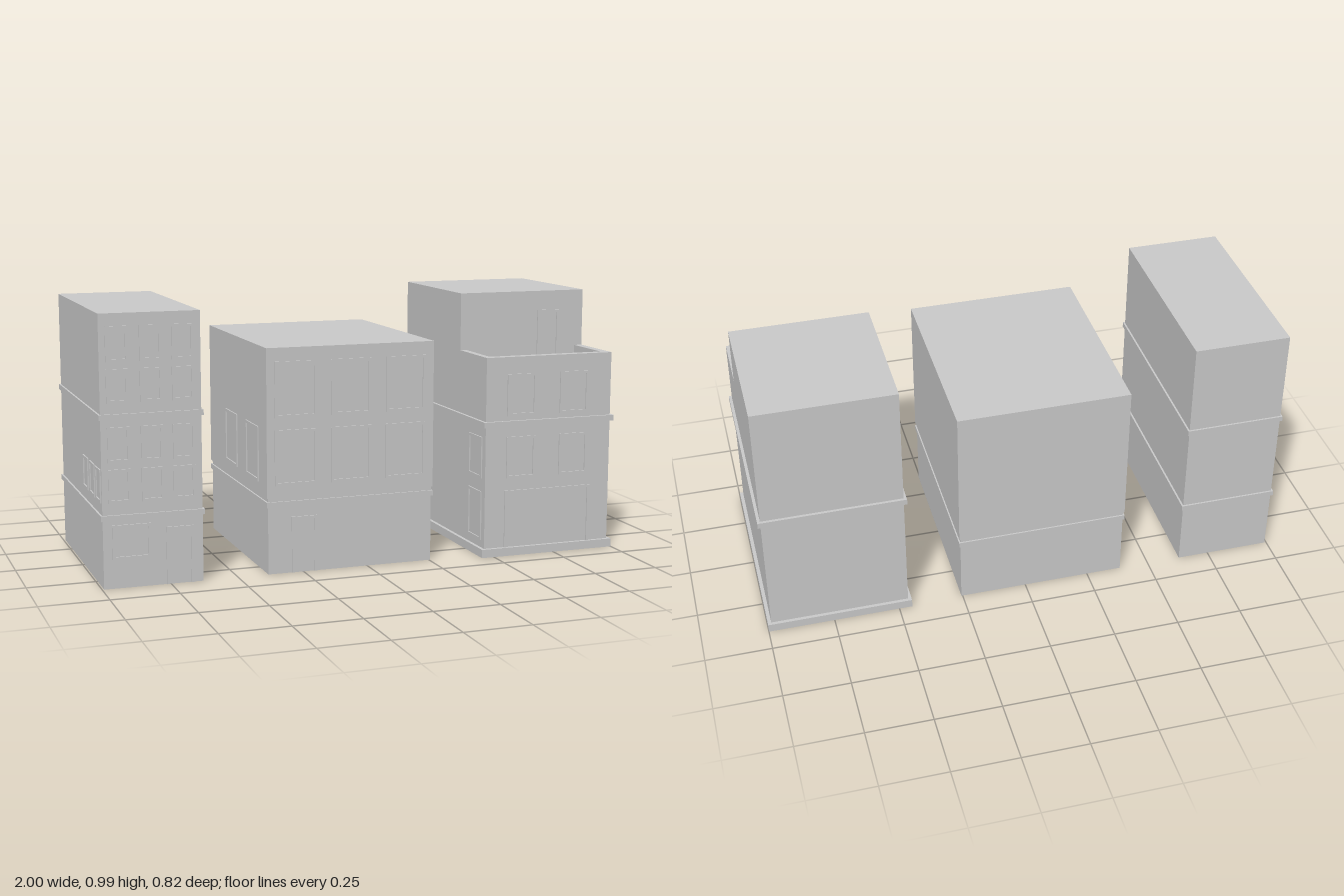
import * as THREE from 'three';

const mat = new THREE.MeshStandardMaterial({ color: 0xcccccc, flatShading: true, side: THREE.DoubleSide });

function add(parent, geo, name) {
  const m = new THREE.Mesh(geo, mat);
  m.name = name;
  parent.add(m);
  return m;
}

// Closed outline from [x, y] corners
const poly = (pts, Type = THREE.Shape) => new Type(pts.map(p => new THREE.Vector2(...p)));
const rect = (x0, x1, y0, y1) => [[x0, y0], [x1, y0], [x1, y1], [x0, y1]];
const extrude = (shape, depth) => new THREE.ExtrudeGeometry(shape, { depth, bevelEnabled: false });

// Box open at the bottom; p = [x0, x1, z0, z1]
function shell(parent, name, [x0, x1, z0, z1], y0, y1) {
  const g = new THREE.BoxGeometry(x1 - x0, y1 - y0, z1 - z0);
  const idx = Array.from(g.index.array);
  idx.splice(18, 6);
  g.setIndex(idx);
  g.clearGroups();
  g.translate((x0 + x1) / 2, (y0 + y1) / 2, (z0 + z1) / 2);
  return add(parent, g, name);
}

// Lies an outline drawn in (x, -z) flat and raises it from y0 to y1
function slab(parent, name, shape, y0, y1) {
  return add(parent, extrude(shape, y1 - y0).rotateX(-Math.PI / 2).translate(0, y0, 0), name);
}

// Ledge running around the walls, standing out by "out"
function ledge(parent, name, [x0, x1, z0, z1], out, y0, y1, inn = 0.004) {
  const s = poly(rect(x0 - out, x1 + out, -z1 - out, -z0 + out));
  s.holes.push(poly(rect(x0 + inn, x1 - inn, -z1 + inn, -z0 - inn), THREE.Path));
  return slab(parent, name, s, y0, y1);
}

const T = 0.01, OUT = 0.005, DEPTH = 0.012;

// Window surround, drawn facing +z
function windowGeo(a0, a1, y0, y1) {
  const s = poly(rect(a0, a1, y0, y1));
  s.holes.push(poly(rect(a0 + T, a1 - T, y0 + T, y1 - T), THREE.Path));
  return extrude(s, DEPTH).translate(0, 0, OUT - DEPTH);
}

// Door surround without a sill
function doorGeo(a0, a1, y0, y1) {
  return extrude(poly([[a0, y0], [a0 + T, y0], [a0 + T, y1 - T], [a1 - T, y1 - T],
    [a1 - T, y0], [a1, y0], [a1, y1], [a0, y1]]), DEPTH).translate(0, 0, OUT - DEPTH);
}

// Grids of windows on the front wall (z) and on the right wall (x)
function frontWindows(parent, z, cols, rows) {
  for (const [x0, x1] of cols) for (const [y0, y1] of rows)
    add(parent, windowGeo(x0, x1, y0, y1).translate(0, 0, z), 'frontWindow');
}
function sideWindows(parent, x, cols, rows) {
  for (const [z0, z1] of cols) for (const [y0, y1] of rows)
    add(parent, windowGeo(z0, z1, y0, y1).rotateY(-Math.PI / 2).translate(x, 0, 0), 'sideWindow');
}

function group(parent, name) {
  const g = new THREE.Group();
  g.name = name;
  parent.add(g);
  return g;
}

export function createModel() {
  const model = new THREE.Group();
  model.name = 'townBuildings';

  // Tall narrow building
  const tall = group(model, 'narrowBuilding');
  const tp = [-0.993, -0.63, -0.4, 0.366];
  shell(tall, 'walls', tp, 0, 0.98);
  for (const y of [0.247, 0.607]) ledge(tall, 'ledge', tp, 0.007, y, y + 0.02);
  frontWindows(tall, tp[3], [[-0.97, -0.89], [-0.85, -0.77], [-0.735, -0.655]],
    [[0.31, 0.43], [0.455, 0.58], [0.665, 0.785], [0.81, 0.935]]);
  frontWindows(tall, tp[3], [[-0.96, -0.82]], [[0.105, 0.23]]);
  add(tall, doorGeo(-0.765, -0.665, 0, 0.21).translate(0, 0, tp[3]), 'door');
  sideWindows(tall, tp[0], [[0.04, 0.13], [0.16, 0.25], [0.27, 0.355]], [[0.31, 0.43]]);

  // Wide building with a slightly recessed ground floor
  const wide = group(model, 'wideBuilding');
  const wp = [-0.39, 0.26, -0.403, 0.37];
  const gp = [-0.385, 0.255, -0.398, 0.365];
  shell(wide, 'groundFloor', gp, 0, 0.29);
  shell(wide, 'upperFloors', wp, 0.285, 0.835);
  ledge(wide, 'ledge', gp, 0.006, 0.25, 0.27);
  frontWindows(wide, wp[3], [[-0.36, -0.2], [-0.145, 0.012], [0.07, 0.226]],
    [[0.33, 0.535], [0.58, 0.785]]);
  add(wide, doorGeo(-0.295, -0.198, 0, 0.21).translate(0, 0, gp[3]), 'door');
  sideWindows(wide, wp[0], [[-0.17, -0.01], [0.11, 0.27]], [[0.33, 0.535]]);

  // Shop building with a roof terrace
  const shop = group(model, 'terraceBuilding');
  const sp = [0.463, 0.987, -0.395, 0.398];
  const back = 0.153, floor = 0.7;
  shell(shop, 'lowerFloors', sp, 0, floor);
  shell(shop, 'topFloor', [sp[0], sp[1], sp[2], back], floor, 0.985);
  slab(shop, 'parapet', poly([[sp[0], -back], [sp[0], -sp[3]], [sp[1], -sp[3]], [sp[1], -back],
    [0.955, -back], [0.955, -0.366], [0.488, -0.366], [0.488, -back]]), floor, 0.765);
  ledge(shop, 'plinth', sp, 0.013, 0, 0.032, 0.012);
  ledge(shop, 'ledge', sp, 0.011, 0.5, 0.522);
  frontWindows(shop, sp[3], [[0.55, 0.67], [0.77, 0.89]], [[0.3, 0.46], [0.54, 0.7]]);
  add(shop, doorGeo(0.545, 0.905, 0.032, 0.253).translate(0, 0, sp[3]), 'shopFront');
  add(shop, doorGeo(0.79, 0.883, floor, 0.91).translate(0, 0, back), 'terraceDoor');
  sideWindows(shop, sp[0], [[0.25, 0.37]], [[0.06, 0.25], [0.3, 0.46]]);

  return model;
}
